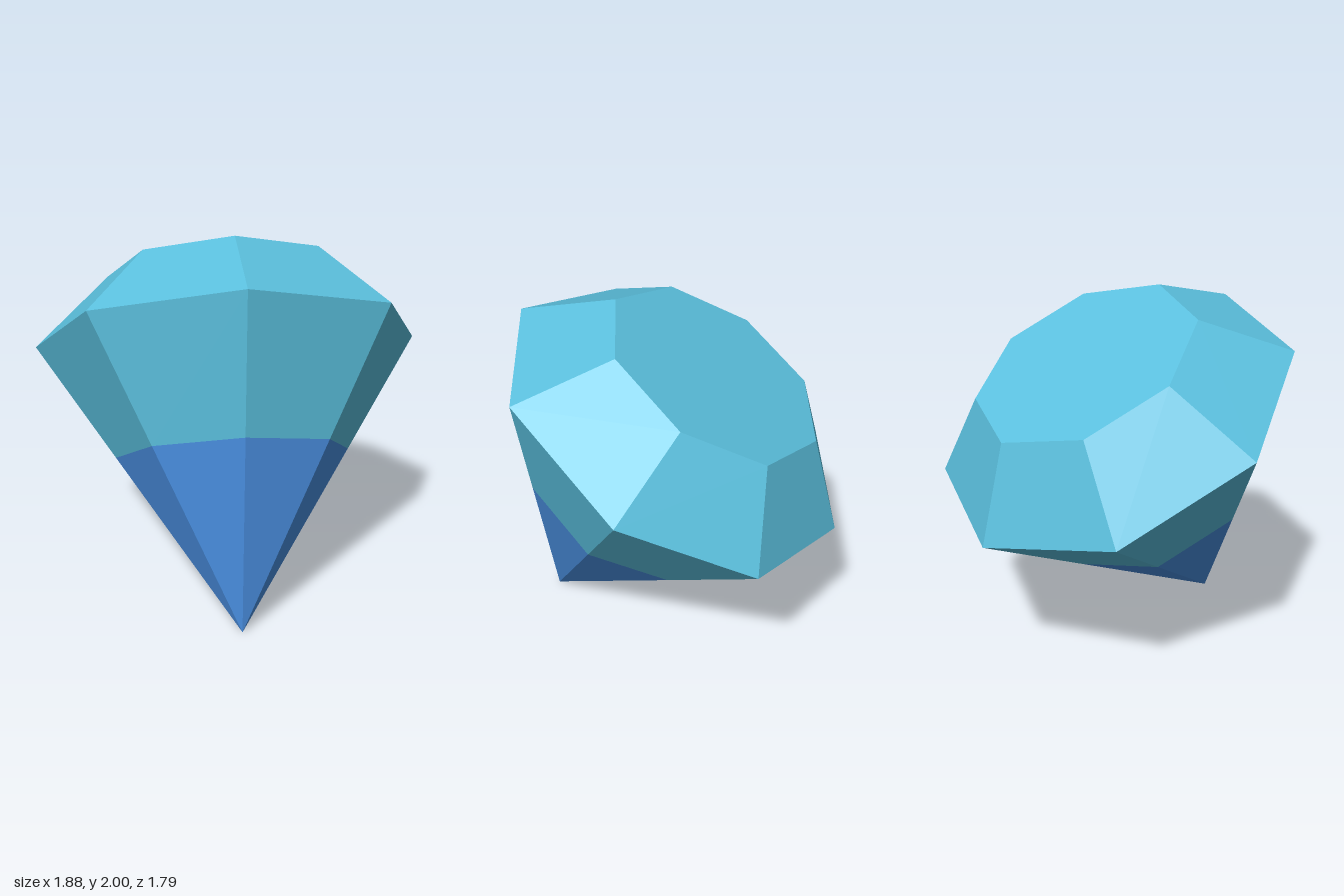
import * as THREE from 'three';

export function createModel() {
  const cyan = new THREE.MeshStandardMaterial({ color: 0x5bc0de, flatShading: true });
  cyan.name = 'light cyan';
  const blue = new THREE.MeshStandardMaterial({ color: 0x4a90e2, flatShading: true });
  blue.name = 'deep blue';

  const SIDES = 8;
  const girdleR = 1.038, tableR = 0.638; // radii of the widest ring and the flat top
  const crownH = 0.387, depth = 1.56;    // heights above and below the widest ring
  const split = 0.605;                   // where the lower facets change colour, from the tip

  const gem = new THREE.Group();
  gem.name = 'gem';
  const add = (name, geometry, material, y) => {
    const mesh = new THREE.Mesh(geometry, material);
    mesh.name = name;
    mesh.position.y = y;
    gem.add(mesh);
  };
  const ring = (top, bottom, h) => new THREE.CylinderGeometry(top, bottom, h, SIDES, 1, true);

  // Flat top and sloping crown
  add('table', new THREE.CircleGeometry(tableR, SIDES).rotateX(-Math.PI / 2), cyan, crownH);
  add('crown', ring(tableR, girdleR, crownH), cyan, crownH / 2);

  // Lower facets: cyan band, then blue point
  const bandH = depth * (1 - split), tipH = depth * split;
  add('upperPavilion', ring(girdleR, girdleR * split, bandH), cyan, -bandH / 2);
  add('pavilionTip', new THREE.ConeGeometry(girdleR * split, tipH, SIDES, 1, true).rotateX(Math.PI),
    blue, -bandH - tipH / 2);

  // Lean the gem back and to its right, with one corner at the highest point
  const axis = new THREE.Vector3(-0.235, 0.857, -0.458).normalize();
  const corner = new THREE.Vector3(0.41, 0.535, 0.79).projectOnPlane(axis).normalize();
  const side = new THREE.Vector3().crossVectors(axis, corner);
  gem.quaternion.setFromRotationMatrix(new THREE.Matrix4().makeBasis(side, axis, corner));
  gem.position.y = 1.337;

  const model = new THREE.Group();
  model.name = 'tiltedGem';
  model.add(gem);
  return model;
}
